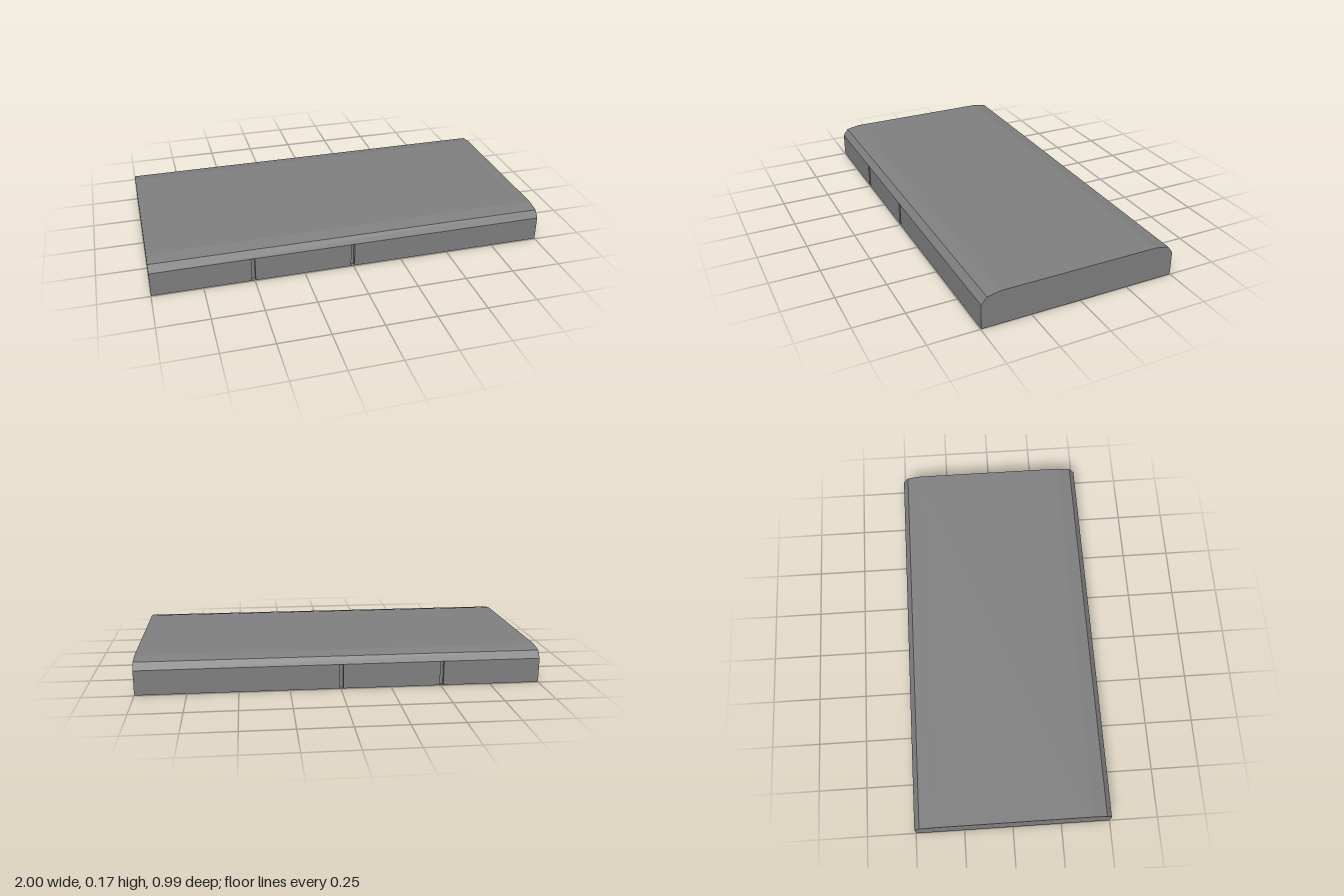
import * as THREE from 'three';

export function createModel() {
  const model = new THREE.Group();
  const grey = new THREE.MeshStandardMaterial({ color: 0x7f7f7f, flatShading: true, side: THREE.DoubleSide });
  const brown = new THREE.MeshStandardMaterial({ color: 0xa89a88, flatShading: true, side: THREE.DoubleSide });

  const base = 0.001, wallTop = 0.125, depth = 0.497;
  const positions = [];
  const quad = (a, b, c, d) => positions.push(...a, ...b, ...c, ...a, ...c, ...d);
  const eachPair = (points, fn) => points.slice(1).forEach((q, i) => fn(points[i], q));

  // Top and bevels: profile points are [z, y]
  const half = [[depth, base], [depth, wallTop], [0.47, 0.16], [0.4, 0.173]];
  const upper = half.slice(1);
  eachPair([...upper, ...upper.map(([z, y]) => [-z, y]).reverse()], ([pz, py], [qz, qy]) =>
    quad([-1, py, pz], [1, py, pz], [1, qy, qz], [-1, qy, qz]));

  // Flat ends
  eachPair(half, ([pz, py], [qz, qy]) => {
    quad([1, py, pz], [1, py, -pz], [1, qy, -qz], [1, qy, qz]);
    quad([-1, qy, qz], [-1, qy, -qz], [-1, py, -pz], [-1, py, pz]);
  });

  // Front and back walls with two narrow upright grooves: points are [x, z]
  const inner = depth - 0.02;
  const plan = [[-1, depth]];
  for (const x of [-0.505, -0.003]) {
    const a = x - 0.009, b = x + 0.009;
    plan.push([a, depth], [a, inner], [b, inner], [b, depth]);
    // Groove ceilings
    quad([a, wallTop, inner], [b, wallTop, inner], [b, wallTop, depth], [a, wallTop, depth]);
    quad([a, wallTop, -depth], [b, wallTop, -depth], [b, wallTop, -inner], [a, wallTop, -inner]);
  }
  plan.push([1, depth]);
  eachPair(plan, ([px, pz], [qx, qz]) => {
    quad([px, base, pz], [qx, base, qz], [qx, wallTop, qz], [px, wallTop, pz]);
    quad([qx, base, -qz], [px, base, -pz], [px, wallTop, -pz], [qx, wallTop, -qz]);
  });

  // Underside with a cross groove: points are [x, y]
  const under = [[-1, base], [0.492, base], [0.492, 0.012], [0.508, 0.012], [0.508, base], [1, base]];
  eachPair(under, ([px, py], [qx, qy]) =>
    quad([px, py, -depth], [qx, qy, -depth], [qx, qy, depth], [px, py, depth]));

  const slabGeometry = new THREE.BufferGeometry();
  slabGeometry.setAttribute('position', new THREE.Float32BufferAttribute(positions, 3));
  slabGeometry.computeVertexNormals();
  const slab = new THREE.Mesh(slabGeometry, grey);
  slab.name = 'slab';
  model.add(slab);

  // Lengthwise brown band on the underside, split by the groove
  for (const [from, to] of [[-1, 0.492], [0.508, 1]]) {
    const band = new THREE.Mesh(new THREE.PlaneGeometry(to - from, 0.17), brown);
    band.name = 'undersideBand';
    band.rotation.x = Math.PI / 2;
    band.position.x = (from + to) / 2;
    model.add(band);
  }

  return model;
}
